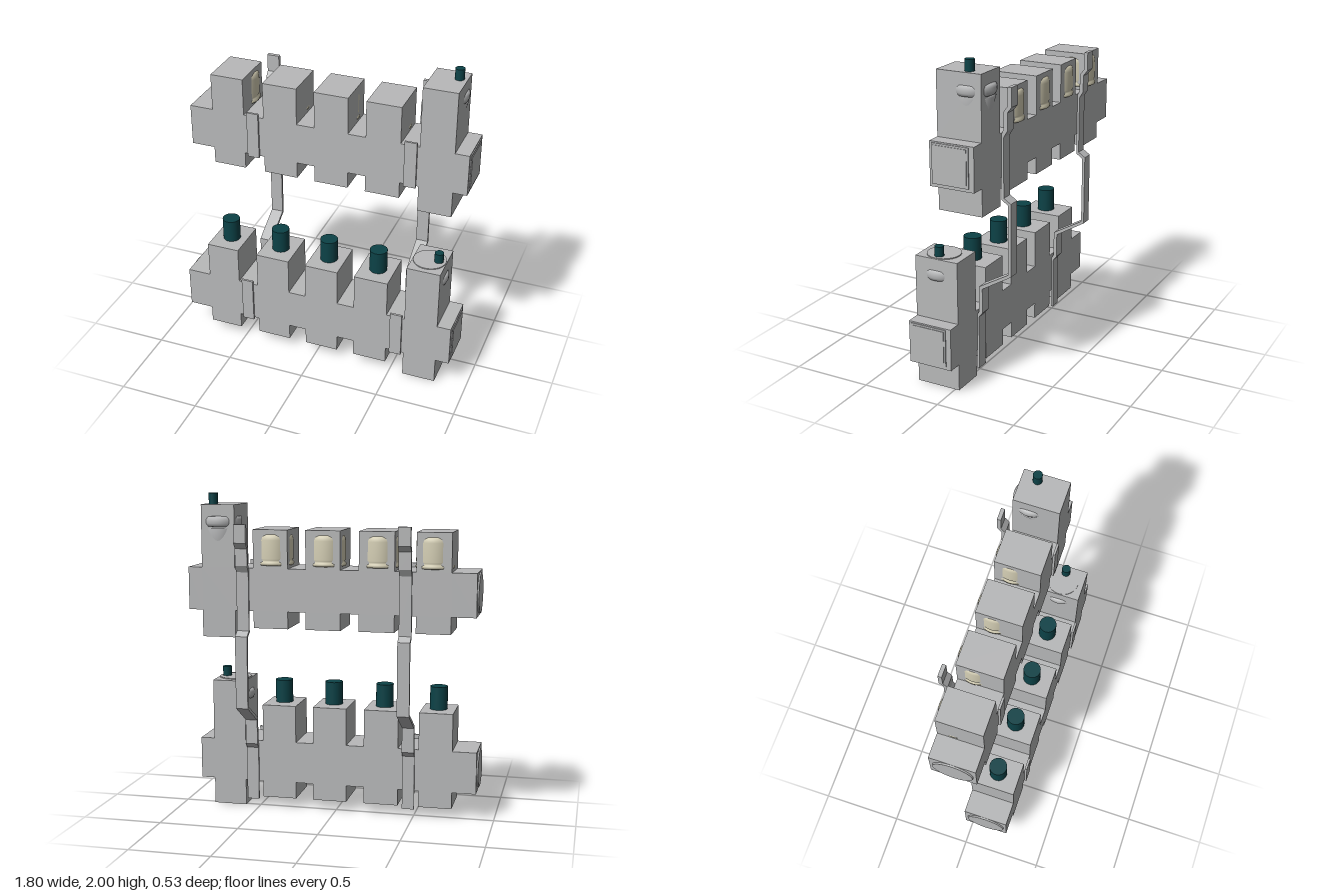
import * as THREE from 'three';

const mat = (name, color) => {
  const m = new THREE.MeshStandardMaterial({ color });
  m.name = name;
  return m;
};
const grey = mat('housing grey', 0xb8b9ba);
const teal = mat('dark teal', 0x0c4247);
const cream = mat('cream', 0xd6d0b6);

const BLOCKS = [[-0.74, -0.53], [-0.4, -0.183], [-0.07, 0.145], [0.257, 0.473]];
const TOWER_X = 0.695;
const STRAPS = [-0.468, 0.538];

function add(parent, name, geometry, material, x = 0, y = 0, z = 0) {
  const mesh = new THREE.Mesh(geometry, material);
  mesh.name = name;
  mesh.position.set(x, y, z);
  parent.add(mesh);
  return mesh;
}

// Stepped outline made of columns: [x0, x1, bottom, top]
function bankGeometry(depth) {
  const body = [0.17, 0.433];
  const columns = [];
  let x = -0.89;
  for (const [a, b] of BLOCKS) {
    columns.push([x, a, ...body], [a, b, 0.065, 0.668]);
    x = b;
  }
  columns.push([x, 0.59, ...body], [0.59, 0.8, 0.003, 0.815], [0.8, 0.887, ...body]);
  const points = [];
  for (const [a, b, low] of columns) points.push(new THREE.Vector2(a, low), new THREE.Vector2(b, low));
  for (const [a, b, , top] of columns.reverse()) points.push(new THREE.Vector2(b, top), new THREE.Vector2(a, top));
  return new THREE.ExtrudeGeometry(new THREE.Shape(points), { depth, bevelEnabled: false });
}

function lathe(profile, segments = 40) {
  return new THREE.LatheGeometry(profile.map(p => new THREE.Vector2(...p)), segments);
}

// One bank of valves; axisZ is the line of its plungers
function createBank(name, y, back, axisZ) {
  const bank = new THREE.Group();
  bank.name = name;
  bank.position.y = y;
  const depth = 0.281, mid = back + depth / 2;
  add(bank, 'housing', bankGeometry(depth), grey, 0, 0, back);

  // Square port on the left end: frame, then raised panel
  add(bank, 'portFrame', new THREE.BoxGeometry(0.008, 0.236, 0.232), grey, 0.889, 0.307, mid + 0.008);
  add(bank, 'portPanel', new THREE.BoxGeometry(0.012, 0.214, 0.21), grey, 0.891, 0.307, mid + 0.008);

  // Round plug on the right end
  const plug = add(bank, 'endPlug', new THREE.CylinderGeometry(0.12, 0.125, 0.014, 32), grey, -0.892, 0.305, mid);
  plug.rotation.z = Math.PI / 2;

  // Tower fittings: pin, bulging ring and top and bottom discs
  add(bank, 'towerPin', new THREE.CylinderGeometry(0.028, 0.028, 0.08, 24), teal, 0.752, 0.842, axisZ);
  add(bank, 'towerRing', lathe([[0.09, -0.034], [0.113, -0.03], [0.121, -0.012], [0.121, 0.012], [0.113, 0.03], [0.09, 0.034]]),
    grey, TOWER_X, 0.712, axisZ);
  add(bank, 'towerFoot', new THREE.CylinderGeometry(0.055, 0.055, 0.008, 24), grey, TOWER_X, 0.004, mid);

  // Clamp plates on the front face
  for (const x of STRAPS) add(bank, 'clampPlate', new THREE.BoxGeometry(0.076, 0.3, 0.014), grey, x, 0.31, back + depth + 0.007);
  return bank;
}

export function createModel() {
  const model = new THREE.Group();
  model.name = 'valveBanks';

  // Lower bank with plungers
  const lower = createBank('lowerBank', 0, -0.03, 0.116);
  for (const [a, b] of BLOCKS) {
    add(lower, 'plunger', new THREE.CylinderGeometry(0.055, 0.055, 0.15, 32), teal, (a + b) / 2 + 0.003, 0.738, 0.116);
  }
  add(lower, 'towerCap', new THREE.CylinderGeometry(0.102, 0.102, 0.01, 40), grey, TOWER_X, 0.816, 0.116);
  model.add(lower);

  // Upper bank with round cartridges showing through the block walls
  const upper = createBank('upperBank', 1.122, -0.2, -0.104);
  const cartridge = lathe([[0.09, 0.448], [0.115, 0.452], [0.117, 0.466], [0.109, 0.474], [0.109, 0.484],
    [0.113, 0.492], [0.113, 0.605], [0.109, 0.625], [0.1, 0.638], [0.08, 0.645]], 48);
  for (const [a, b] of BLOCKS) {
    const shift = a < -0.5 ? 0.008 : -0.005;
    add(upper, 'cartridge', cartridge, cream, (a + b) / 2 + shift, 0, -0.104);
  }
  add(upper, 'towerCone', lathe([[0.085, 0.55], [0.115, 0.67], [0.08, 0.675]]), grey, TOWER_X, 0, -0.104);
  model.add(upper);

  // Bent straps joining both banks, profile as [z, y]
  const outer = [[-0.042, 0.05], [-0.042, 0.39], [-0.066, 0.42], [-0.066, 0.575], [-0.259, 0.69], [-0.259, 1.14],
    [-0.214, 1.17], [-0.214, 1.53], [-0.238, 1.57], [-0.238, 1.675], [-0.265, 1.71], [-0.265, 1.823]];
  const inner = [[-0.241, 1.823], [-0.241, 1.715], [-0.214, 1.68], [-0.214, 1.58], [-0.198, 1.54], [-0.198, 1.16],
    [-0.241, 1.13], [-0.241, 0.7], [-0.044, 0.588], [-0.044, 0.43], [-0.028, 0.4], [-0.028, 0.05]];
  const shape = new THREE.Shape([...outer, ...inner].map(([z, y]) => new THREE.Vector2(-z, y)));
  const strap = new THREE.ExtrudeGeometry(shape, { depth: 0.076, bevelEnabled: false });
  strap.translate(0, 0, -0.038);
  strap.rotateY(Math.PI / 2);
  for (const x of STRAPS) add(model, 'strap', strap, grey, x);

  return model;
}
